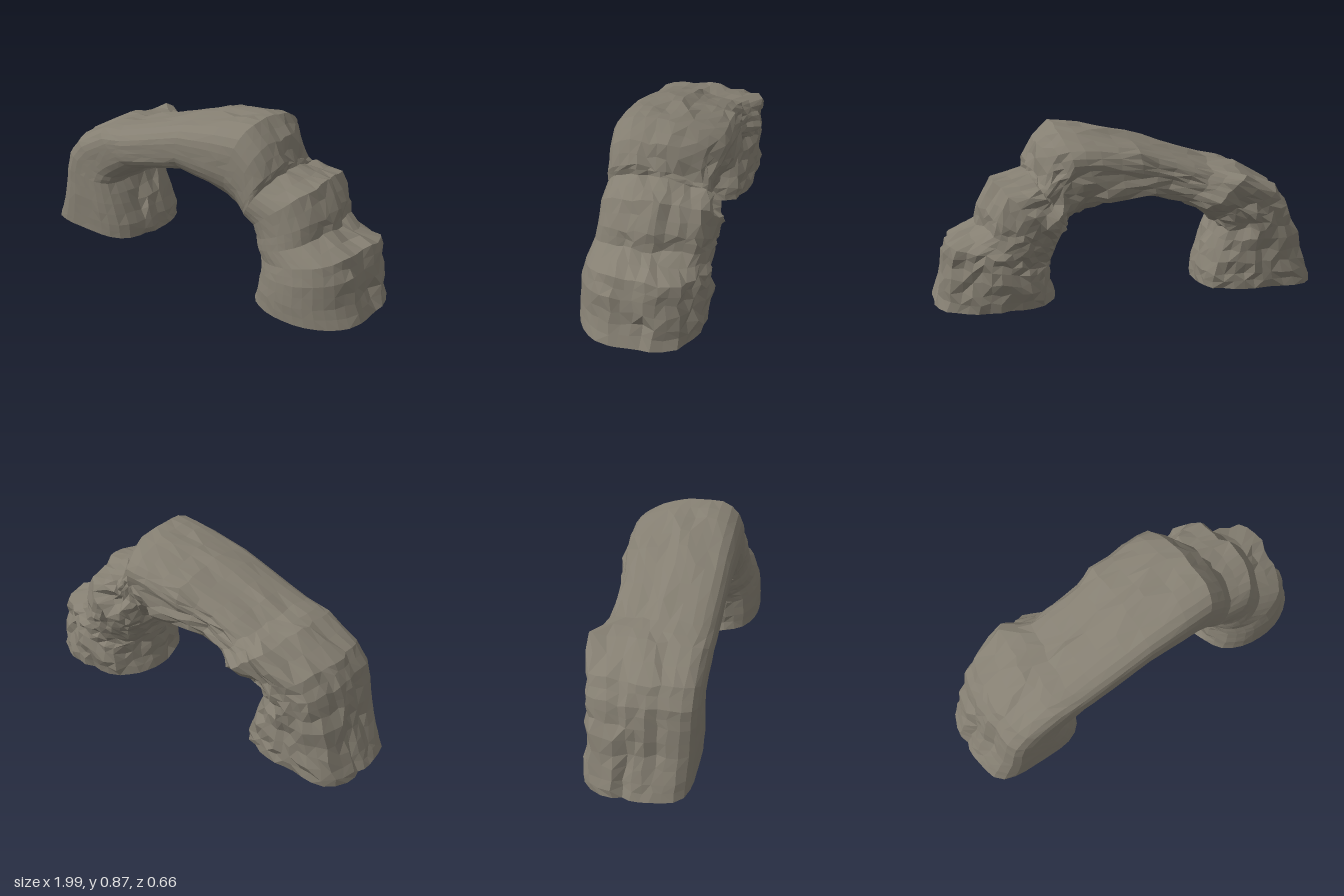
import * as THREE from 'three';

// Cross-sections along the arch: outer x, y, inner x, y, front z, back z
const SECTIONS = [
  [-1.0, 0, -0.39, 0, 0.255, -0.27],
  [-0.965, 0.08, -0.4, 0.08, 0.26, -0.275],
  [-0.915, 0.2, -0.445, 0.2, 0.265, -0.275],
  [-0.88, 0.34, -0.49, 0.31, 0.265, -0.275],
  [-0.855, 0.44, -0.46, 0.345, 0.265, -0.28],
  [-0.785, 0.53, -0.4, 0.38, 0.265, -0.29],
  [-0.6, 0.635, -0.33, 0.43, 0.27, -0.32],
  [-0.45, 0.655, -0.26, 0.46, 0.27, -0.265],
  [-0.24, 0.725, -0.14, 0.485, 0.27, -0.255],
  [-0.02, 0.8, -0.04, 0.505, 0.27, -0.29],
  [0.2, 0.85, 0.13, 0.465, 0.27, -0.305],
  [0.36, 0.87, 0.22, 0.435, 0.265, -0.29],
  [0.45, 0.79, 0.28, 0.41, 0.265, -0.26],
  [0.51, 0.69, 0.31, 0.38, 0.265, -0.26],
  [0.51, 0.65, 0.33, 0.36, 0.265, -0.275],
  [0.68, 0.61, 0.355, 0.33, 0.265, -0.3],
  [0.75, 0.48, 0.375, 0.29, 0.27, -0.29],
  [0.77, 0.395, 0.39, 0.25, 0.28, -0.28],
  [0.92, 0.325, 0.4, 0.21, 0.295, -0.29],
  [0.945, 0.23, 0.41, 0.16, 0.315, -0.29],
  [0.96, 0.1, 0.395, 0.08, 0.325, -0.31],
  [1.0, 0, 0.37, 0, 0.325, -0.295],
];
const RING = 36;
const STEPS = 2;
const LAST = (SECTIONS.length - 1) * STEPS;
const { lerp, smoothstep, clamp } = THREE.MathUtils;

// Repeatable noise in 0..1 from two whole numbers
function hash(a, b) {
  const s = Math.sin(a * 127.1 + b * 311.7 + 17.3) * 43758.5453;
  return s - Math.floor(s);
}

function sectionAt(k) {
  const i = Math.min(Math.floor(k / STEPS), SECTIONS.length - 2);
  const f = k / STEPS - i;
  return SECTIONS[i].map((v, n) => lerp(v, SECTIONS[i + 1][n], f));
}

// Squareness of the corner: the left foot is boxy, the right leg round
function cornerPower(k, c, s) {
  const right = smoothstep(k, 22, 29);
  if (c < 0) return s > 0 ? lerp(3.1, 2.2, smoothstep(k, 2, 28)) : 3;
  return lerp(3.8, s > 0 ? 2.25 : 2.5, right);
}

// One ring of points: smooth at the front, broken into blocks elsewhere
function rockRing(k) {
  const [ox, oy, ix, iy, front, back] = sectionAt(k);
  const end = k === 0 || k === LAST;
  const cz = (front + back) / 2, hz = (front - back) / 2;
  const cx = (ox + ix) / 2, cy = (oy + iy) / 2;
  const dx = ox - ix, dy = oy - iy, len = Math.hypot(dx, dy);
  const points = [];
  for (let j = 0; j < RING; j++) {
    const a = (j / RING) * Math.PI * 2;
    const c = Math.cos(a), s = Math.sin(a), n = cornerPower(k, c, s);
    const r = Math.pow(Math.abs(c) ** n + Math.abs(s) ** n, -1 / n);
    let u = c * r, w = s * r;

    // The crown falls away at the back, and its cliff steps inward there
    if (u > 0) {
      const crown = 1 - smoothstep(Math.abs(k - 22), 1, 9);
      const cliff = 1 - smoothstep(Math.abs(k - 25), 0, 4);
      u *= 1 - 0.26 * crown * Math.max(0, -w - 0.05) - 0.25 * cliff * smoothstep(-w, 0.2, 0.7);
    }

    // Blocks share an offset, with small chips on top
    const top = c > 0.3 && k > 14 && k < 23 ? 0.75 : 1;
    const rough = (1 - 0.9 * smoothstep(w, 0.3, 0.9)) * top;
    const column = Math.floor((j + 1) / 3);
    const block = hash(Math.floor((k + 2 * (column % 3)) / 5), column);
    const chip = hash(k + 50, j + 90);
    const dent = rough * (0.05 * block + 0.014 * chip - 0.022) * (end ? 0.6 : 1);
    u *= 1 - dent / (len / 2);
    w *= 1 - dent / hz;

    // Irregular spacing along and across the arch
    const slide = end ? 0 : rough * 0.02 * (hash(j + 7, k + 33) - 0.5);
    const shift = rough * 0.024 * (hash(j + 3, k + 71) - 0.5);
    const x = cx + (u * dx) / 2 + (slide * dy) / len;
    const y = cy + (u * dy) / 2 - (slide * dx) / len;
    points.push([clamp(x, -1, 1), end ? 0 : Math.max(y, 0.006), cz + w * hz + shift]);
  }
  return points;
}

function archGeometry() {
  const rings = [];
  for (let k = 0; k <= LAST; k++) rings.push(rockRing(k));
  const pos = [];
  const tri = (a, b, c) => pos.push(...a, ...b, ...c);

  // Skin with mixed diagonals
  for (let k = 0; k < LAST; k++) {
    for (let j = 0; j < RING; j++) {
      const m = (j + 1) % RING;
      const a = rings[k][j], b = rings[k][m];
      const c = rings[k + 1][m], d = rings[k + 1][j];
      if (hash(k, j + 200) > 0.5) {
        tri(a, b, c);
        tri(a, c, d);
      } else {
        tri(a, b, d);
        tri(b, c, d);
      }
    }
  }

  // Flat undersides of both feet
  for (const k of [0, LAST]) {
    const s = sectionAt(k);
    const centre = [(s[0] + s[2]) / 2, 0, (s[4] + s[5]) / 2];
    for (let j = 0; j < RING; j++) {
      const a = rings[k][j], b = rings[k][(j + 1) % RING];
      if (k === 0) tri(centre, b, a);
      else tri(centre, a, b);
    }
  }
  const geometry = new THREE.BufferGeometry();
  geometry.setAttribute('position', new THREE.Float32BufferAttribute(pos, 3));
  geometry.computeVertexNormals(); // unshared corners give flat facets
  return geometry;
}

export function createModel() {
  const stone = new THREE.MeshStandardMaterial({ color: 0x857f72 });
  stone.name = 'stone';
  const arch = new THREE.Mesh(archGeometry(), stone);
  arch.name = 'rockArch';
  const group = new THREE.Group();
  group.name = 'naturalRockArch';
  group.add(arch);
  return group;
}
